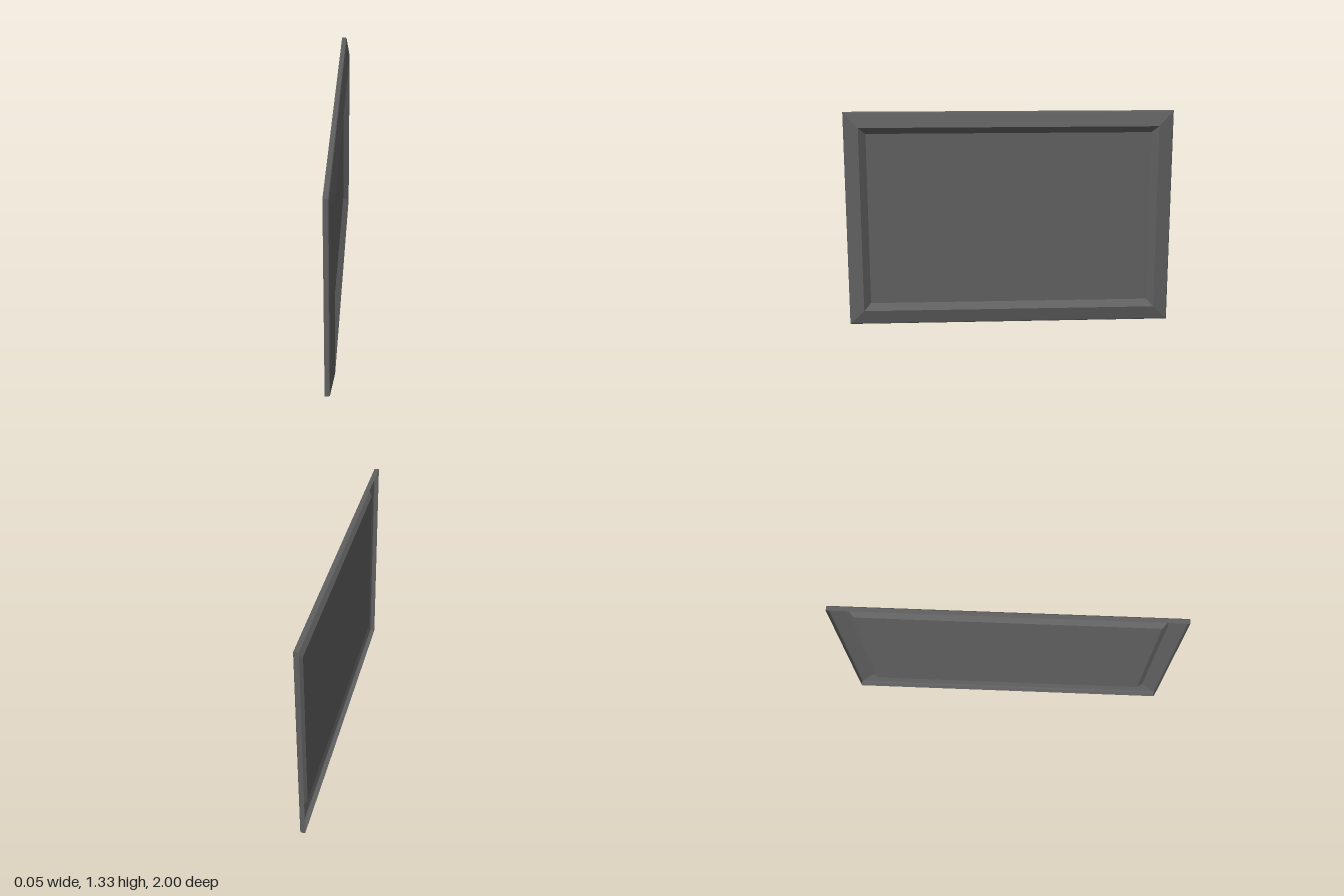
import * as THREE from 'three';

const HALF_LENGTH = 1;
const HEIGHT = 1.326;

// Four corners of a rectangle facing +x, pulled in from the outline by inset
function ring([x, inset]) {
  const w = HALF_LENGTH - inset;
  const top = HEIGHT - inset;
  return [[x, inset, w], [x, inset, -w], [x, top, -w], [x, top, w]];
}

function quadGeometry(quads) {
  const points = quads.flatMap(([a, b, c, d]) => [a, b, c, a, c, d]).flat();
  const geometry = new THREE.BufferGeometry();
  geometry.setAttribute('position', new THREE.Float32BufferAttribute(points, 3));
  geometry.computeVertexNormals();
  return geometry;
}

// Mitred band of four flat strips between two rectangles
function band(from, to) {
  const a = ring(from);
  const b = ring(to);
  return quadGeometry(a.map((p, i) => {
    const j = (i + 1) % 4;
    return [p, a[j], b[j], b[i]];
  }));
}

export function createModel() {
  const group = new THREE.Group();
  group.name = 'framedPanel';
  const grey = new THREE.MeshStandardMaterial({ color: 0x606060, side: THREE.DoubleSide });
  grey.name = 'darkGrey';

  const add = (name, geometry) => {
    const mesh = new THREE.Mesh(geometry, grey);
    mesh.name = name;
    group.add(mesh);
  };

  // Frame section as [x, inset], from the rear edge to the sunken panel
  const profile = [
    [-0.0275, 0], [-0.003, 0], [0.002, 0.003], [0.005, 0.011], [0.0275, 0.092], [-0.01, 0.132],
  ];
  const names = ['outerRim', 'rimBevel', 'rimRounding', 'outerSlope', 'innerSlope'];
  names.forEach((name, i) => add(name, band(profile[i], profile[i + 1])));

  // Flat sheet inside the frame
  add('centrePanel', quadGeometry([ring(profile[profile.length - 1])]));

  return group;
}
